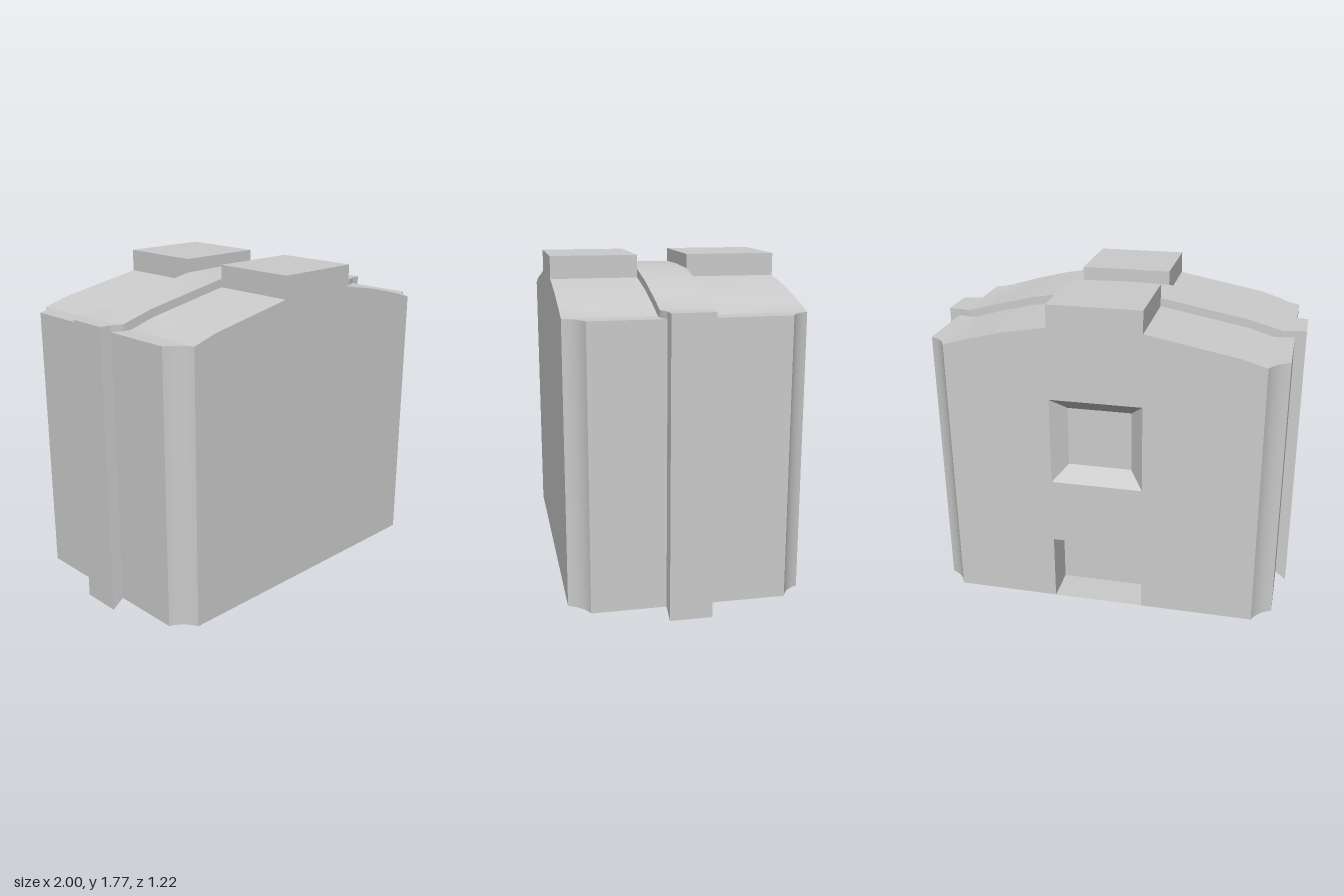
import * as THREE from 'three';
import { toCreasedNormals } from 'three/addons/utils/BufferGeometryUtils.js';

const material = new THREE.MeshStandardMaterial({ color: 0xcccccc, side: THREE.DoubleSide });
const BASE = 0.05, EAVE = 1.52, BAND_EAVE = 1.555, HALF_DEPTH = 0.61;
const LEFT = 0.275, RIGHT = -0.22; // sides of the raised blocks and rear recesses

// Ruled skin between two rails of [x, y, z] points.
function loft(railA, railB) {
  const p = [];
  for (let i = 0; i < railA.length - 1; i++) {
    const [a, b, c, d] = [railA[i], railA[i + 1], railB[i + 1], railB[i]];
    p.push(...a, ...b, ...c, ...a, ...c, ...d);
  }
  const g = new THREE.BufferGeometry();
  g.setAttribute('position', new THREE.Float32BufferAttribute(p, 3));
  return toCreasedNormals(g, 0.4);
}

function add(parent, name, geometry) {
  const mesh = new THREE.Mesh(geometry, material);
  mesh.name = name;
  parent.add(mesh);
  return mesh;
}

function interpolate(table, x) {
  if (x <= table[0][0]) return table[0][1];
  for (let i = 1; i < table.length; i++) {
    const [x0, y0] = table[i - 1], [x1, y1] = table[i];
    if (x <= x1) return y0 + (y1 - y0) * (x - x0) / (x1 - x0);
  }
  return table[table.length - 1][1];
}

// Heights of the centre band, and its edges, which narrow towards the ends.
const bandY = x => interpolate([[-0.88, BAND_EAVE], [-0.7, 1.605], [RIGHT, 1.695], [0.02, 1.7],
  [LEFT, 1.695], [0.5, 1.655], [0.7, 1.605], [0.88, BAND_EAVE]], x);
const bandFront = x => interpolate([[0.88, 0.145], [0.94, 0.12], [1, 0.115]], Math.abs(x));
const bandBack = x => interpolate([[0.88, -0.125], [0.94, -0.108], [1, -0.105]], Math.abs(x));

// Hollow corner, as [x, z].
const corner = new THREE.QuadraticBezierCurve(
  new THREE.Vector2(0.835, 0.61), new THREE.Vector2(0.865, 0.535), new THREE.Vector2(0.94, 0.505)
).getPoints(8).map(v => [v.x, v.y]);

// Roof line with the step of the raised blocks, as [x, y].
const roofLine = [[-0.7, 1.56], [RIGHT, 1.65], [RIGHT, 1.77], [LEFT, 1.77], [LEFT, 1.65], [0.5, 1.61], [0.7, 1.56]];

// Recess in the rear wall: sides plus inner panel.
function addRecess(parent, name, y0, y1, inset, depth) {
  const ring = (s, z) => [[RIGHT + s, y0 + s, z], [LEFT - s, y0 + s, z], [LEFT - s, y1 - s, z],
    [RIGHT + s, y1 - s, z], [RIGHT + s, y0 + s, z]];
  const outer = ring(0, -HALF_DEPTH), inner = ring(inset, -HALF_DEPTH + depth);
  add(parent, name + 'Sides', loft(outer, inner));
  add(parent, name + 'Panel', loft([inner[0], inner[1]], [inner[3], inner[2]]));
}

export function createModel() {
  const model = new THREE.Group();
  model.name = 'casing';

  // Roof halves, centre band and the band's upright edges
  const rows = [
    ...corner.map(([x, z]) => [-x, EAVE, z]).reverse(),
    ...roofLine.map(([x, y]) => [x, y, HALF_DEPTH]),
    ...corner.map(([x, z]) => [x, EAVE, z]),
  ];
  for (const [side, sign, edge] of [['front', 1, bandFront], ['back', -1, bandBack]]) {
    const inner = rows.map(([x, y]) => [x, y, edge(x)]);
    add(model, side + 'Roof', loft(rows.map(([x, y, z]) => [x, y, sign * z]), inner));
    add(model, side + 'BandEdge', loft(inner, rows.map(([x]) => [x, bandY(x), edge(x)])));
  }
  const bandX = [-1, -0.94, -0.88, -0.7, RIGHT, 0.02, LEFT, 0.5, 0.7, 0.88, 0.94, 1];
  add(model, 'bandTop', loft(bandX.map(x => [x, bandY(x), bandFront(x)]), bandX.map(x => [x, bandY(x), bandBack(x)])));

  // Side walls with hollow corners and the projecting band, open below
  const path = [
    ...corner.map(([x, z]) => [x, z, EAVE]),
    [0.94, bandFront(0.94), EAVE], [0.94, bandFront(0.94), BAND_EAVE],
    [1, bandFront(1), BAND_EAVE], [1, bandBack(1), BAND_EAVE],
    [0.94, bandBack(0.94), BAND_EAVE], [0.94, bandBack(0.94), EAVE],
    ...corner.map(([x, z]) => [x, -z, EAVE]).reverse(),
  ];
  const sideGeometry = loft(
    path.map(([x, z, y]) => [x, y, z]),
    path.map(([x, z]) => [x, x === 1 ? 0 : BASE, z]));
  add(model, 'leftSide', sideGeometry);
  add(model, 'rightSide', sideGeometry).scale.x = -1;

  // Front and rear walls; the rear has a window and a notch at the foot
  const outline = [[0.835, BASE], [0.835, EAVE], ...[...roofLine].reverse(), [-0.835, EAVE], [-0.835, BASE]];
  const notch = [[RIGHT, BASE], [RIGHT, 0.42], [LEFT, 0.42], [LEFT, BASE]];
  const points = list => list.map(([x, y]) => new THREE.Vector2(x, y));
  add(model, 'frontWall', new THREE.ShapeGeometry(new THREE.Shape(points(outline)))).position.z = HALF_DEPTH;
  const rear = new THREE.Shape(points([...outline, ...notch]));
  rear.holes.push(new THREE.Path(points([[RIGHT, 0.78], [LEFT, 0.78], [LEFT, 1.26], [RIGHT, 1.26]])));
  const rearGeometry = new THREE.ShapeGeometry(rear);
  rearGeometry.scale(1, 1, -1);
  // turn the faces outwards
  rearGeometry.setIndex([...rearGeometry.index.array].reverse());
  rearGeometry.computeVertexNormals();
  add(model, 'backWall', rearGeometry).position.z = -HALF_DEPTH;

  // Tapered upper recess and straight lower recess
  addRecess(model, 'upperRecess', 0.78, 1.26, 0.075, 0.087);
  addRecess(model, 'lowerRecess', BASE, 0.42, 0, 0.2);

  return model;
}
